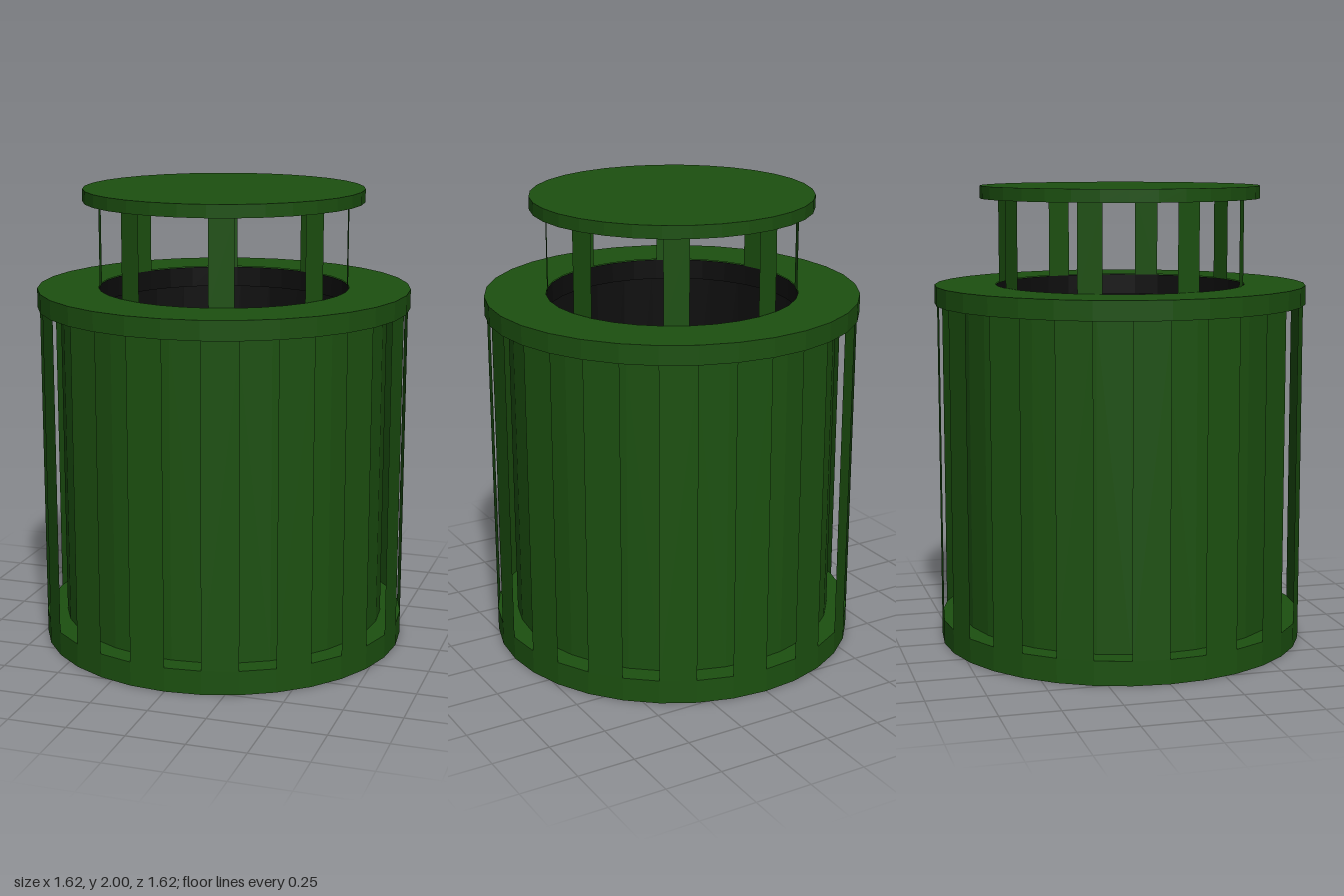
import * as THREE from 'three';

const SIDES = 32;
const STEP = (Math.PI * 2) / SIDES;

export function createModel() {
  const model = new THREE.Group();
  model.name = 'litterBin';

  const green = new THREE.MeshStandardMaterial({ color: 0x1c5010, flatShading: true, side: THREE.DoubleSide });
  const black = new THREE.MeshStandardMaterial({ color: 0x0d0d0d, flatShading: true, side: THREE.DoubleSide });

  const add = (name, geometry, material = green, parent = model) => {
    const mesh = new THREE.Mesh(geometry, material);
    mesh.name = name;
    parent.add(mesh);
    return mesh;
  };

  // Solid disc between two heights
  const disc = (name, r, y0, y1) => {
    add(name, new THREE.CylinderGeometry(r, r, y1 - y0, SIDES)).position.y = (y0 + y1) / 2;
  };

  // Surface turned around the y axis
  const turned = (name, points, material) =>
    add(name, new THREE.LatheGeometry(points.map(([r, y]) => new THREE.Vector2(r, y)), SIDES), material);

  // Ring of one-facet strips, repeated every few facets
  const strips = (name, r, y0, y1, first, every) => {
    const group = new THREE.Group();
    group.name = name + 's';
    for (let i = first; i < SIDES; i += every) {
      const strip = new THREE.CylinderGeometry(r, r, y1 - y0, 1, 1, true, i * STEP, STEP);
      add(name, strip, green, group).position.y = (y0 + y1) / 2;
    }
    model.add(group);
  };

  // Base and slatted outer wall
  disc('base', 0.8, 0, 0.105);
  strips('slat', 0.8, 0.105, 1.49, 1, 2);

  // Inner container, with a dark lining up to the mouth
  turned('container', [[0.71, 0.105], [0.71, 1.49]], green);
  turned('lining', [[0, 0.115], [0.7, 0.115], [0.7, 1.48], [0.545, 1.48], [0.545, 1.57]], black);

  // Top collar around the mouth
  turned('collar', [[0.545, 1.49], [0.81, 1.49], [0.81, 1.573], [0.545, 1.573]], green);

  // Posts carrying the raised lid
  strips('post', 0.54, 1.57, 1.945, 1, 4);
  disc('lid', 0.608, 1.945, 2);

  return model;
}
